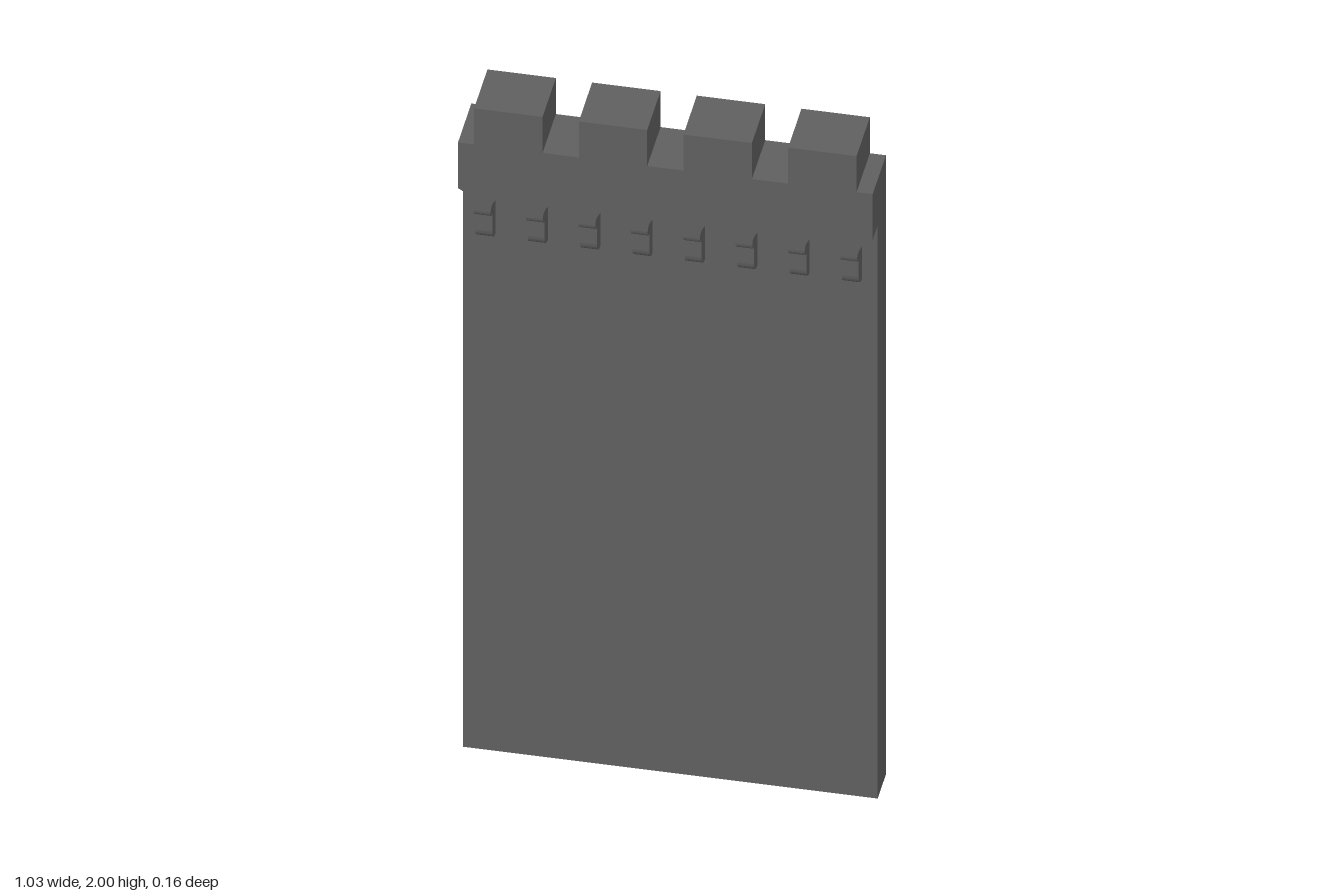
import * as THREE from 'three';

const HALF = 0.515, BACK = -0.08, FACE = 0.02, FRONT = 0.08;
const TOP = 1.89, SPRING = 1.688, APEX = 1.752;
const PITCH = 0.13, CORBEL = 0.042, GAP = (PITCH - CORBEL) / 2;

export function createModel() {
  const group = new THREE.Group();
  const stone = new THREE.MeshStandardMaterial({ color: 0x5f5f5f });
  stone.name = 'dark stone';

  const add = (name, geometry, x = 0, y = 0, z = 0) => {
    const mesh = new THREE.Mesh(geometry, stone);
    mesh.name = name;
    mesh.position.set(x, y, z);
    group.add(mesh);
  };

  // Main wall slab
  add('wall', new THREE.BoxGeometry(HALF * 2, TOP, FACE - BACK), 0, TOP / 2, (FACE + BACK) / 2);

  // Overhanging parapet with a row of pointed arches along its lower edge
  const outline = new THREE.Shape();
  const rise = (c) => outline.bezierCurveTo(c - GAP, 1.722, c - 0.026, 1.74, c, APEX);
  const fall = (c) => outline.bezierCurveTo(c + 0.026, 1.74, c + GAP, 1.722, c + GAP, SPRING);
  outline.moveTo(-HALF, TOP);
  outline.lineTo(-HALF, APEX - 0.002);
  outline.bezierCurveTo(-0.497, 1.742, -0.479, 1.722, -4 * PITCH + GAP + 0.0, SPRING);
  for (let i = -3; i <= 3; i++) {
    outline.lineTo(i * PITCH - GAP, SPRING);
    rise(i * PITCH);
    fall(i * PITCH);
  }
  outline.lineTo(4 * PITCH - GAP, SPRING);
  outline.bezierCurveTo(0.479, 1.722, 0.497, 1.742, HALF, APEX - 0.002);
  outline.lineTo(HALF, TOP);
  outline.closePath();
  add('parapet', new THREE.ExtrudeGeometry(outline, {
    depth: FRONT - FACE, bevelEnabled: false, curveSegments: 8,
  }), 0, 0, FACE);

  // Stepped corbels carrying the arches
  const profile = new THREE.Shape();
  profile.moveTo(FACE, 1.58);
  profile.quadraticCurveTo(0.058, 1.587, 0.06, 1.615);
  profile.lineTo(0.06, 1.667);
  profile.quadraticCurveTo(0.078, 1.67, FRONT, SPRING);
  profile.lineTo(FACE, SPRING);
  profile.closePath();
  const corbel = new THREE.ExtrudeGeometry(profile, {
    depth: CORBEL, bevelEnabled: false, curveSegments: 6,
  });
  corbel.rotateY(-Math.PI / 2).translate(CORBEL / 2, 0, 0);
  for (let i = 0; i < 8; i++) add('corbel', corbel, (i - 3.5) * PITCH);

  // Merlons
  const merlon = new THREE.BoxGeometry(0.17, 2 - TOP, FRONT - BACK);
  for (const x of [-0.39, -0.13, 0.13, 0.39]) add('merlon', merlon, x, (2 + TOP) / 2, 0);

  return group;
}
